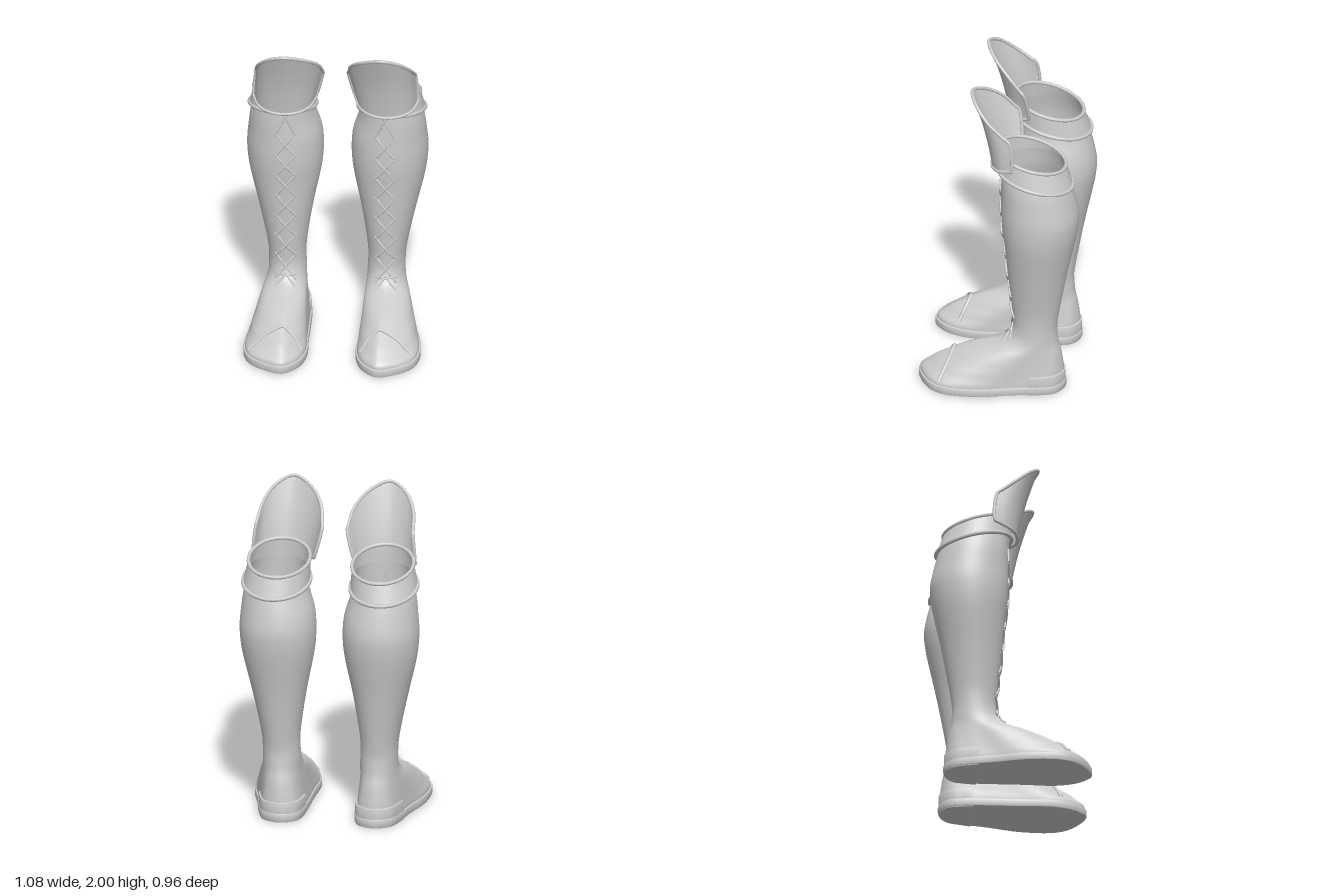
import * as THREE from 'three';
import { toCreasedNormals } from 'three/addons/utils/BufferGeometryUtils.js';

const V = (x, y, z) => new THREE.Vector3(x, y, z);
const TAU = Math.PI * 2;

// Smooth interpolation of table rows keyed by their first value
function sample(rows, k) {
  const n = rows.length - 1;
  k = Math.min(Math.max(k, rows[0][0]), rows[n][0]);
  let i = 0;
  while (i < n - 1 && k > rows[i + 1][0]) i++;
  const slope = (j, c) => {
    const a = rows[Math.max(j - 1, 0)], b = rows[Math.min(j + 1, n)];
    return (b[c] - a[c]) / (b[0] - a[0]);
  };
  const a = rows[i], b = rows[i + 1], h = b[0] - a[0], t = (k - a[0]) / h;
  const t2 = t * t, t3 = t2 * t;
  return a.slice(1).map((_, j) => {
    const c = j + 1;
    return (2 * t3 - 3 * t2 + 1) * a[c] + (t3 - 2 * t2 + t) * h * slope(i, c)
      + (3 * t2 - 2 * t3) * b[c] + (t3 - t2) * h * slope(i + 1, c);
  });
}

// Grid surface from fn(u, v); closed wraps around in u
function surface(nu, nv, fn, closed) {
  const pos = [], index = [], cols = closed ? nu : nu + 1;
  for (let j = 0; j <= nv; j++)
    for (let i = 0; i < cols; i++) pos.push(...fn(i / nu, j / nv).toArray());
  for (let j = 0; j < nv; j++)
    for (let i = 0; i < nu; i++) {
      const a = j * cols + i, b = j * cols + (i + 1) % cols;
      index.push(a, b, b + cols, a, b + cols, a + cols);
    }
  const g = new THREE.BufferGeometry();
  g.setAttribute('position', new THREE.Float32BufferAttribute(pos, 3));
  g.setIndex(index);
  g.computeVertexNormals();
  return g;
}

const tube = (pts, r, closed = false, seg = 96) =>
  new THREE.TubeGeometry(new THREE.CatmullRomCurve3(pts, closed), seg, r, 8, closed);

function mirrored(geometry) {
  const g = geometry.clone().scale(-1, 1, 1);
  const idx = g.index ? Array.from(g.index.array) : Array.from({ length: g.attributes.position.count }, (_, i) => i);
  for (let i = 0; i < idx.length; i += 3) [idx[i + 1], idx[i + 2]] = [idx[i + 2], idx[i + 1]];
  g.setIndex(idx);
  return g;
}

// Shaft sections: height, inner x, outer x, back z, front z
const SHAFT = [
  [0.36, 0.18, 0.405, -0.353, -0.07], [0.42, 0.183, 0.405, -0.35, -0.088], [0.5, 0.183, 0.41, -0.36, -0.085],
  [0.6, 0.172, 0.427, -0.377, -0.075], [0.8, 0.14, 0.47, -0.414, -0.056], [1.0, 0.1, 0.517, -0.456, -0.038],
  [1.1, 0.086, 0.533, -0.475, -0.026], [1.2, 0.083, 0.538, -0.483, -0.02], [1.3, 0.093, 0.53, -0.467, -0.02],
  [1.42, 0.128, 0.515, -0.435, -0.022], [1.55, 0.15, 0.48, -0.395, -0.025],
];
// How far the foot has drawn in from sole outline to ankle, by height
const FOOT = [[0.04, 0], [0.08, 0.012], [0.12, 0.1], [0.15, 0.17], [0.19, 0.3], [0.22, 0.4],
  [0.25, 0.53], [0.27, 0.64], [0.29, 0.77], [0.32, 0.91], [0.36, 1]];
// Sole outline from the toe tip round the outer side
const OUTLINE = new THREE.CatmullRomCurve3([
  [0.285, 0.472], [0.4, 0.43], [0.48, 0.36], [0.513, 0.27], [0.505, 0.08], [0.455, -0.1], [0.42, -0.25], [0.38, -0.35],
  [0.285, -0.395], [0.19, -0.35], [0.16, -0.25], [0.155, -0.1], [0.155, 0.08], [0.152, 0.27], [0.182, 0.375], [0.227, 0.435],
].map(([x, z]) => V(x, 0, z)), true);

function shaftPoint(y, a) {
  const [x0, x1, z0, z1] = sample(SHAFT, y);
  return V((x0 + x1) / 2 + (x1 - x0) / 2 * Math.sin(a), y, (z0 + z1) / 2 + (z1 - z0) / 2 * Math.cos(a));
}
function bootPoint(y, a) {
  if (y >= 0.36) return shaftPoint(y, a);
  const f = Math.max(sample(FOOT, y)[0], 0) ** (1 - 0.35 * Math.abs(Math.sin(a)));
  const p = OUTLINE.getPoint((((a / TAU) % 1) + 1) % 1).lerp(shaftPoint(0.36, a), Math.min(f, 1));
  p.y = y;
  return p;
}
function laceStrip(x0, y0, x1, y1, lift) {
  const pts = [];
  for (let i = 0; i <= 4; i++) {
    const t = -0.06 + 1.12 * i / 4, x = x0 + (x1 - x0) * t, y = y0 + (y1 - y0) * t;
    const [a, b] = sample(SHAFT, y);
    const p = bootPoint(y, Math.asin((x - (a + b) / 2) / ((b - a) / 2)));
    p.z += lift;
    pts.push(p);
  }
  return tube(pts, 0.0065, false, 8);
}

// Flat slab from a plan outline (x, z)
function slab(points, y0, height, bevel) {
  const shape = new THREE.Shape(points.map(p => new THREE.Vector2(p.x, -p.z)));
  const g = new THREE.ExtrudeGeometry(shape, {
    depth: height - 2 * bevel, bevelEnabled: true, bevelSize: bevel, bevelThickness: bevel, bevelSegments: 2,
  });
  return toCreasedNormals(g.rotateX(-Math.PI / 2).translate(0, y0 + bevel, 0), 0.7);
}

function bootParts() {
  const parts = [];
  const add = (name, g) => parts.push([name, g]);

  // Foot and shaft in one skin
  add('bootSkin', surface(80, 90, (u, v) =>
    bootPoint(v < 0.45 ? 0.04 + 0.32 * v / 0.45 : 0.36 + 1.19 * (v - 0.45) / 0.55, u * TAU), true));

  // Sole and heel
  const plan = OUTLINE.getPoints(96).slice(0, -1);
  add('sole', slab(plan, 0.006, 0.05, 0.008));
  add('heel', slab(plan.filter(p => p.z < -0.195), 0, 0.122, 0.004));

  // Toe cap seam, where a slanted plane meets the foot
  const seam = [];
  for (let i = -20; i <= 20; i++) {
    const a = i / 20 * 2.2 * TAU / 16;
    let lo = 0.05, hi = 0.36;
    for (let k = 0; k < 24; k++) {
      const y = (lo + hi) / 2;
      if (bootPoint(y, a).z > 0.33 - (y - 0.075) * 0.45) lo = y; else hi = y;
    }
    seam.push(bootPoint(lo, a));
  }
  add('toeCapSeam', tube(seam, 0.012));

  // Crossed laces
  const cx = 0.296, w = 0.056, step = 0.1445;
  for (const s of [-1, 1]) {
    add('lace', laceStrip(cx - s * 0.01, 1.5, cx + s * w, 1.36, 0.005));
    for (let k = 0; k < 7; k++) {
      const d = k % 2 ? -s : s;
      add('lace', laceStrip(cx + d * w, 1.36 - k * step, cx - d * w, 1.36 - (k + 1) * step, s > 0 ? 0.007 : 0.003));
    }
    add('laceTail', laceStrip(cx, 0.375, cx + s * w, 0.315, 0.006));
  }
  add('laceBar', laceStrip(cx - w, 0.37, cx + w, 0.37, 0.005));

  // Tilted collar with rolled rims
  const ring = (x, rx, zb, zf, y, k) => u => {
    const z = (zb + zf) / 2 + (zf - zb) / 2 * Math.cos(u * TAU);
    return V(x + rx * Math.sin(u * TAU), y + k * (z - zb), z);
  };
  const low = ring(0.323, 0.199, -0.448, 0, 1.415, 0.24), high = ring(0.312, 0.182, -0.405, 0, 1.54, 0.27);
  add('collar', surface(64, 6, (u, v) => low(u).lerp(high(u), v), true));
  const loop = f => Array.from({ length: 32 }, (_, i) => f(i / 32));
  add('collarLowerRim', tube(loop(low), 0.012, true));
  add('collarUpperRim', tube(loop(high), 0.011, true));

  // Flared knee guard with piped edge
  const curve = rows => new THREE.CatmullRomCurve3(rows.map(r => V(...r)));
  const top = curve([[0.075, 1.76, -0.085], [0.1, 1.865, 0.01], [0.175, 1.945, 0.105], [0.29, 1.99, 0.16],
    [0.39, 1.945, 0.115], [0.45, 1.865, 0.035], [0.473, 1.76, -0.092]]);
  const base = curve([[0.122, 1.575, -0.105], [0.155, 1.55, -0.03], [0.22, 1.537, 0.02], [0.305, 1.532, 0.036],
    [0.39, 1.537, 0.02], [0.455, 1.55, -0.03], [0.488, 1.575, -0.105]]);
  add('kneeGuard', surface(40, 16, (u, v) => {
    const p = base.getPoint(u).lerp(top.getPoint(u), v);
    p.z -= 0.012 * Math.sin(Math.PI * v) * Math.sin(Math.PI * u);
    return p;
  }, false));
  add('kneeGuardPiping', tube([...base.getPoints(24), ...top.getPoints(24).reverse()], 0.01, true, 160));
  return parts;
}

export function createModel() {
  const model = new THREE.Group();
  model.name = 'boots';
  const grey = new THREE.MeshStandardMaterial({ color: 0xcccccc, side: THREE.DoubleSide });
  grey.name = 'light grey';
  const parts = bootParts();
  for (const side of ['left', 'right']) {
    const boot = new THREE.Group();
    boot.name = side + 'Boot';
    for (const [name, g] of parts) {
      const mesh = new THREE.Mesh(side === 'left' ? g : mirrored(g), grey);
      mesh.name = name;
      boot.add(mesh);
    }
    model.add(boot);
  }
  return model;
}
